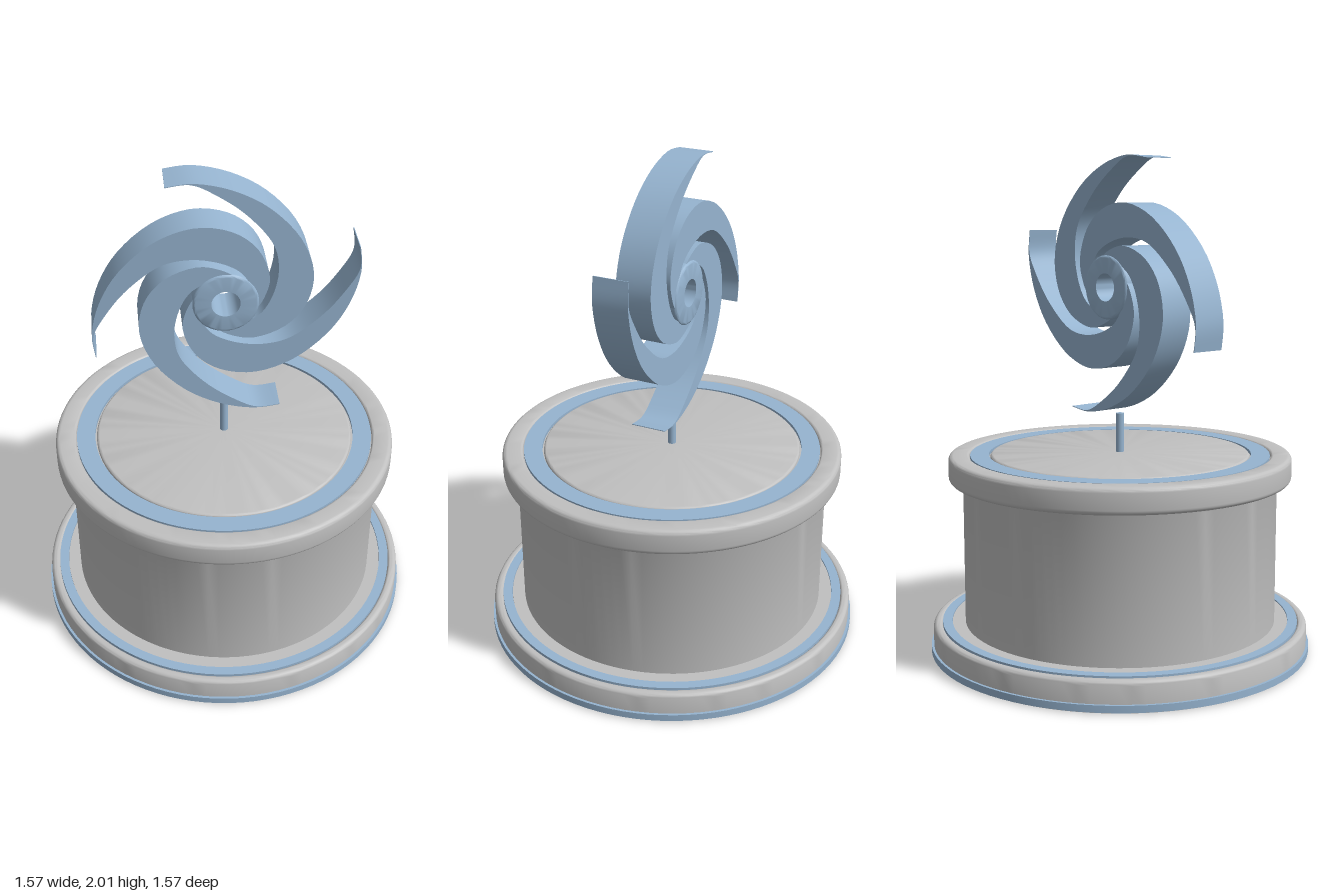
import * as THREE from 'three';
import { toCreasedNormals } from 'three/addons/utils/BufferGeometryUtils.js';

const V = (x, y) => new THREE.Vector2(x, y);

// Solid of revolution with crisp corners and smooth roundings
function lathe(points, material, name, segments = 96) {
  const geometry = new THREE.LatheGeometry(points.map(p => V(p[0], p[1])), segments);
  const mesh = new THREE.Mesh(toCreasedNormals(geometry, 0.6), material);
  mesh.name = name;
  return mesh;
}

// Quarter-round corner: centre, radius, start and end angle in degrees
function corner(cx, cy, r, from, to, n = 5) {
  return Array.from({ length: n + 1 }, (_, i) => {
    const a = THREE.MathUtils.degToRad(from + (to - from) * i / n);
    return [cx + r * Math.cos(a), cy + r * Math.sin(a)];
  });
}

// Closed band with a rectangular section
const band = (r0, r1, y0, y1) => [[r0, y0], [r1, y0], [r1, y1], [r0, y1], [r0, y0]];

export function createModel() {
  const grey = new THREE.MeshStandardMaterial({ color: 0xc0c0c0 });
  grey.name = 'grey body';
  const blue = new THREE.MeshStandardMaterial({ color: 0x96b4d0 });
  blue.name = 'pale blue';
  const model = new THREE.Group();
  model.name = 'rotorOnDrum';

  // Round foot with a groove in its top
  model.add(lathe([
    [0, 0], [0.773, 0], ...corner(0.753, 0.102, 0.02, 0, 90),
    ...corner(0.747, 0.11, 0.012, 90, 180), [0.735, 0.108],
    [0.695, 0.108], [0.695, 0.122], [0.6, 0.122],
  ], grey, 'foot'));
  model.add(lathe(band(0.768, 0.783, 0.005, 0.033), blue, 'footRim'));
  model.add(lathe(band(0.696, 0.735, 0.1, 0.126), blue, 'footRing'));

  // Drum with its overhanging lid and grooved top
  model.add(lathe([
    [0.642, 0.11], [0.642, 0.695], ...corner(0.657, 0.695, 0.015, 180, 90),
    ...corner(0.68, 0.73, 0.02, -90, 0), ...corner(0.68, 0.795, 0.02, 0, 90),
    ...corner(0.627, 0.803, 0.012, 90, 180), [0.615, 0.8],
    [0.53, 0.8], ...corner(0.518, 0.803, 0.012, 0, 90), [0, 0.815],
  ], grey, 'drum'));
  model.add(lathe(band(0.536, 0.612, 0.79, 0.813), blue, 'lidRing'));

  // Thin shaft
  const shaft = new THREE.Mesh(new THREE.CylinderGeometry(0.017, 0.017, 0.165, 16), blue);
  shaft.name = 'shaft';
  shaft.position.y = 0.8925;
  model.add(shaft);

  // Rotor: bored hub and four swept blades
  const rotor = new THREE.Group();
  rotor.name = 'rotor';
  rotor.position.y = 1.49;
  const hub = lathe([
    [0.056, -0.079], ...corner(0.117, -0.067, 0.012, -90, 0, 4),
    ...corner(0.117, 0.067, 0.012, 0, 90, 4), [0.056, 0.079], [0.056, -0.079],
  ], blue, 'hub', 48);
  hub.rotation.x = Math.PI / 2;
  rotor.add(hub);

  // Blade outline: outer edge from the tip to the root, inner edge back to the tip
  const outer = [[-0.507, -0.22], [-0.516, -0.11], [-0.48, 0.03], [-0.4, 0.165],
    [-0.27, 0.28], [-0.12, 0.334], [0.02, 0.312], [0.12, 0.232], [0.167, 0.11],
    [0.145, 0.01], [0.1, -0.055]];
  const inner = [[0.1, 0.07], [0.05, 0.14], [-0.04, 0.185], [-0.15, 0.2],
    [-0.26, 0.172], [-0.385, 0.07], [-0.475, -0.05], [-0.512, -0.13], [-0.504, -0.22]];
  const smooth = (pts) => new THREE.SplineCurve(pts.map(p => V(p[0], p[1]))).getPoints(40);
  const outline = new THREE.Shape([...smooth(outer), ...smooth(inner)]);
  const bladeGeometry = new THREE.ExtrudeGeometry(outline, { depth: 0.144, bevelEnabled: false });
  bladeGeometry.translate(0, 0, -0.072);
  const creased = toCreasedNormals(bladeGeometry, 0.6);
  for (let i = 0; i < 4; i++) {
    const blade = new THREE.Mesh(creased, blue);
    blade.name = 'blade' + (i + 1);
    blade.rotation.z = i * Math.PI / 2;
    rotor.add(blade);
  }
  model.add(rotor);
  return model;
}
